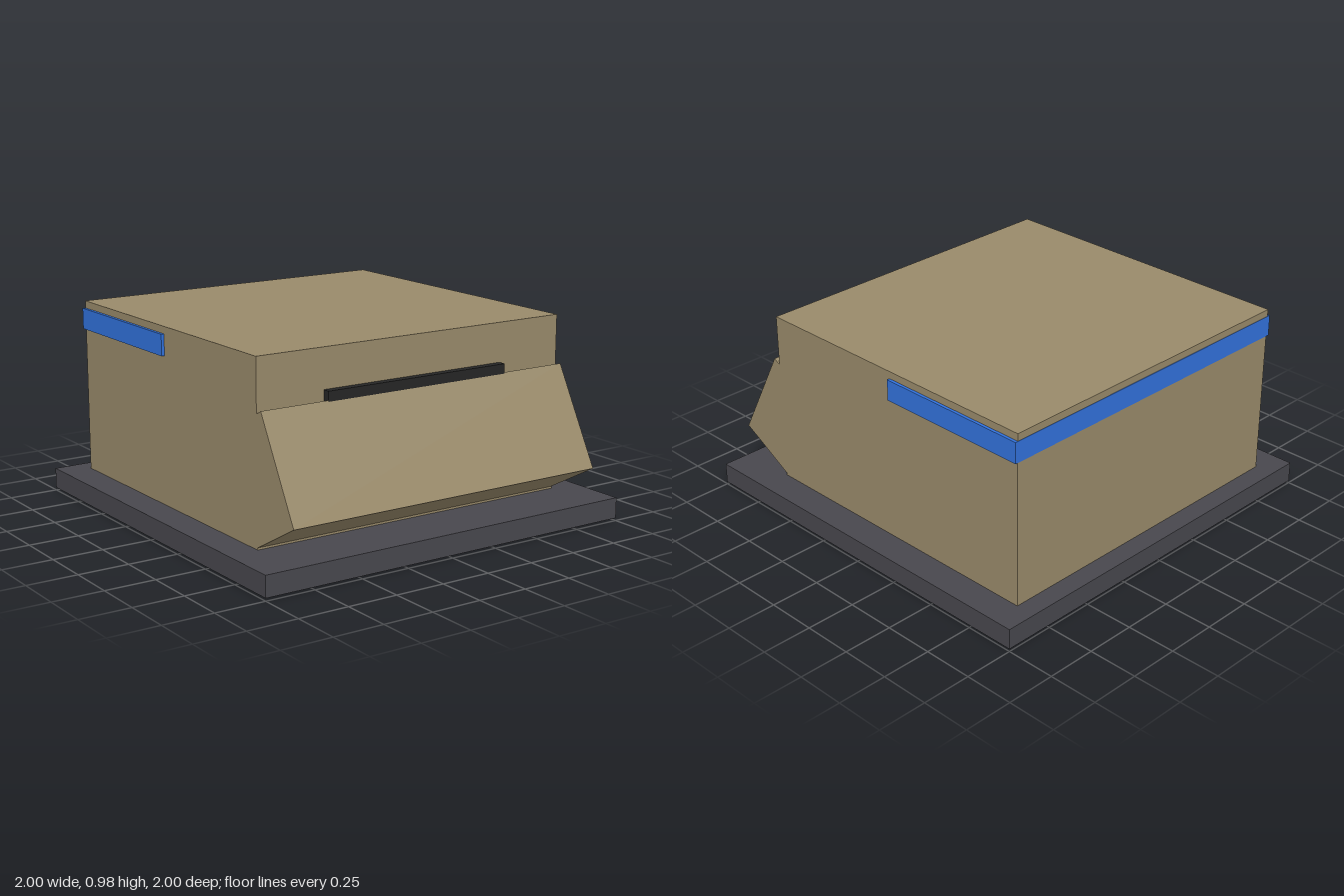
import * as THREE from 'three';

const material = (name, color) => {
  const m = new THREE.MeshStandardMaterial({ color });
  m.name = name;
  return m;
};

export function createModel() {
  const group = new THREE.Group();
  const tan = material('tan casing', 0x998a6a);
  const grey = material('dark grey', 0x48474d);
  const blue = material('blue trim', 0x3272dc);
  const black = material('black', 0x262626);

  // Box from its minimum and maximum corners
  const box = (name, mat, [x0, y0, z0], [x1, y1, z1]) => {
    const mesh = new THREE.Mesh(new THREE.BoxGeometry(x1 - x0, y1 - y0, z1 - z0), mat);
    mesh.position.set((x0 + x1) / 2, (y0 + y1) / 2, (z0 + z1) / 2);
    mesh.name = name;
    group.add(mesh);
    return mesh;
  };

  box('basePlate', grey, [-1, 0.013, -1], [1, 0.115, 1]);
  box('body', tan, [-0.85, 0.115, -0.9], [0.85, 0.982, 0.7]);

  // Tilted front block; its lower edge just pierces the base plate
  const panel = new THREE.Mesh(new THREE.BoxGeometry(1.7, 0.53, 0.59), tan);
  panel.position.set(0, 0.374, 0.603);
  panel.rotation.x = -0.5;
  panel.name = 'slopedFrontPanel';
  group.add(panel);

  // Dark slot above the sloped panel
  box('slot', black, [-0.5, 0.71, 0.66], [0.5, 0.79, 0.738]);

  // Blue band wrapping the rear and both sides
  box('rearBand', blue, [-0.865, 0.842, -0.902], [0.865, 0.946, -0.1]);

  return group;
}
